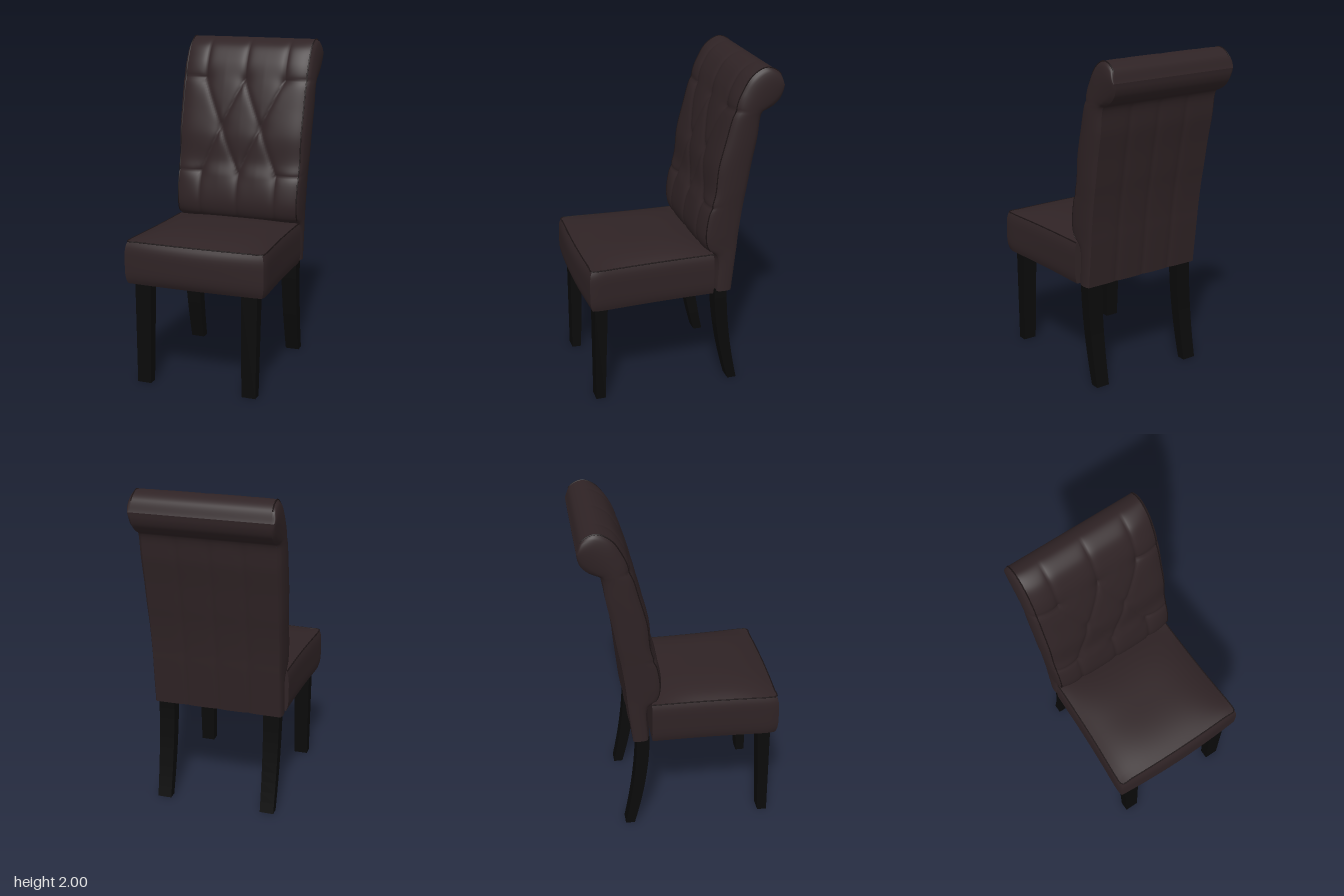
import * as THREE from 'three';

const upholstery = new THREE.MeshStandardMaterial({ color: 0x2f2325 });
upholstery.name = 'brownUpholstery';
const seamMat = new THREE.MeshStandardMaterial({ color: 0x1c1415 });
seamMat.name = 'darkSeam';
const wood = new THREE.MeshStandardMaterial({ color: 0x0a0a0a });
wood.name = 'blackWood';
const cloth = new THREE.MeshStandardMaterial({ color: 0x3a3020 });
cloth.name = 'oliveUndercloth';

const V = (x, y, z) => new THREE.Vector3(x, y, z);
const lerp = THREE.MathUtils.lerp;

function add(group, name, geometry, material) {
  const mesh = new THREE.Mesh(geometry, material);
  mesh.name = name;
  group.add(mesh);
  return mesh;
}

// Smooth surface from fn(u, v); faces the viewer who sees u to the right and v up
function surface(nu, nv, fn) {
  const pos = [], index = [];
  for (let j = 0; j <= nv; j++)
    for (let i = 0; i <= nu; i++) pos.push(...fn(i / nu, j / nv).toArray());
  for (let j = 0; j < nv; j++)
    for (let i = 0; i < nu; i++) {
      const a = j * (nu + 1) + i, c = a + nu + 1;
      index.push(a, a + 1, c + 1, a, c + 1, c);
    }
  const g = new THREE.BufferGeometry();
  g.setAttribute('position', new THREE.Float32BufferAttribute(pos, 3));
  g.setIndex(index);
  g.computeVertexNormals();
  return g;
}

// Backrest side profile as [y, z]: front and rear curves meeting at the tip of the roll
const curve = (pts) => new THREE.CatmullRomCurve3(pts.map(([y, z]) => V(0, y, z)));
const frontCurve = curve([[0.63, -0.195], [0.86, -0.195], [0.91, -0.14], [0.98, -0.12], [1.15, -0.14],
  [1.25, -0.172], [1.42, -0.19], [1.58, -0.23], [1.75, -0.275], [1.87, -0.32], [1.96, -0.385],
  [2.0, -0.48], [1.965, -0.56], [1.89, -0.592]]);
const rearCurve = curve([[0.63, -0.305], [0.85, -0.328], [0.92, -0.335], [1.0, -0.342], [1.17, -0.365],
  [1.28, -0.385], [1.43, -0.41], [1.58, -0.44], [1.735, -0.465], [1.755, -0.5], [1.775, -0.535],
  [1.81, -0.57], [1.85, -0.587], [1.89, -0.592]]);

// Tufting: pinch points and the seams joining them, on the +x half
const pinches = [[0, 1.75], [0.26, 1.75], [0.13, 1.46], [0, 1.17], [0.25, 1.17]];
const seams = [
  [0, 1.75, 0.13, 1.46], [0.26, 1.75, 0.13, 1.46], [0.13, 1.46, 0, 1.17], [0.13, 1.46, 0.25, 1.17],
  [0, 1.75, 0, 2.1], [0.26, 1.75, 0.26, 2.1], [0.26, 1.75, 0.4, 1.76], [0.25, 1.17, 0.4, 1.17],
  [0, 1.17, 0, 0.85], [0.25, 1.17, 0.25, 0.85],
];
function segmentDistance(x, y, [ax, ay, bx, by]) {
  const dx = bx - ax, dy = by - ay;
  const k = THREE.MathUtils.clamp(((x - ax) * dx + (y - ay) * dy) / (dx * dx + dy * dy), 0, 1);
  return Math.hypot(x - ax - k * dx, y - ay - k * dy);
}
function tuftDepth(x, y) {
  const ax = Math.abs(x);
  const seam = Math.min(...seams.map((s) => segmentDistance(ax, y, s)));
  const pinch = Math.min(...pinches.map(([px, py]) => Math.hypot(ax - px, y - py)));
  return 0.012 * Math.exp(-seam / 0.018) + 0.022 * Math.exp(-pinch / 0.045);
}

const halfWidth = (t) => lerp(0.392, 0.405, t);
function frontPoint(s, t) {
  const f = frontCurve.getPoint(t), r = rearCurve.getPoint(t);
  const inward = r.clone().sub(f);
  const fade = 1 - THREE.MathUtils.smoothstep(t, 0.7, 0.88);
  const depth = fade * (tuftDepth(s * 0.4, f.y) + 0.022 * s ** 8);
  if (depth > 0) f.addScaledVector(inward.normalize(), depth);
  f.x = s * halfWidth(t);
  return f;
}
function rearPoint(s, t) {
  const r = rearCurve.getPoint(t);
  const d = Math.min(...[-0.5, 0, 0.5].map((c) => Math.abs(s - c)));
  const fade = 1 - THREE.MathUtils.smoothstep(t, 0.55, 0.65);
  return V(s * halfWidth(t), r.y, r.z + 0.008 * fade * Math.exp(-d / 0.06));
}
function sidePoint(side, k, t) {
  const p = frontPoint(side, t).lerp(rearPoint(side, t), k);
  const bulge = (0.012 + 0.022 * THREE.MathUtils.smoothstep(t, 0.1, 0.6)) * (1 - 0.6 * t ** 8);
  p.x += side * bulge * Math.sqrt(Math.max(0, Math.sin(Math.PI * k)));
  return p;
}

function makeBackrest() {
  const g = new THREE.Group();
  g.name = 'backrest';
  add(g, 'tuftedFront', surface(80, 130, (u, v) => frontPoint(u * 2 - 1, v)), upholstery);
  add(g, 'rearPanel', surface(60, 70, (u, v) => rearPoint(1 - u * 2, v)), upholstery);
  add(g, 'leftSide', surface(14, 130, (u, v) => sidePoint(1, u, v)), upholstery);
  add(g, 'rightSide', surface(14, 130, (u, v) => sidePoint(-1, 1 - u, v)), upholstery);
  add(g, 'backrestBase', surface(2, 1, (u, v) =>
    rearPoint(u * 2 - 1, 0).lerp(frontPoint(u * 2 - 1, 0), v)), upholstery);
  // Stitched edges
  for (const side of [1, -1]) {
    const pts = Array.from({ length: 50 }, (_, i) => frontPoint(side, 0.14 + 0.8 * i / 49));
    add(g, 'edgeSeam', new THREE.TubeGeometry(new THREE.CatmullRomCurve3(pts), 100, 0.004, 5), seamMat);
  }
  return g;
}

// Maps a cube of half-size 1 to the padded, forward-widening seat
function seatPoint(x, y, z) {
  const h = (y + 1) / 2, swell = 1 - y ** 4;
  const width = 0.4 + 0.03 * ((z + 1) / 2) ** 2 + 0.014 * swell - 0.012 * Math.max(0, z) ** 12;
  const reach = z > 0 ? 0.36 + 0.026 * swell * (1 - 0.4 * x * x) + 0.01 * (1 - x * x) : 0.39;
  const dome = 0.052 * (1 - x ** 4) * (1 - Math.abs(z) ** 3);
  return V(x * width, lerp(0.623, 0.88, h) + dome * h ** 4, 0.2 + z * reach);
}

function makeSeat() {
  const g = new THREE.Group();
  g.name = 'seat';
  const box = new THREE.BoxGeometry(2, 2, 2, 28, 14, 28);
  const p = box.attributes.position;
  for (let i = 0; i < p.count; i++) {
    const q = seatPoint(p.getX(i), p.getY(i), p.getZ(i));
    p.setXYZ(i, q.x, q.y, q.z);
  }
  box.computeVertexNormals();
  add(g, 'seatCushion', box, upholstery);
  // Seam round the top edge
  const corners = [[-1, -1], [-1, 1], [1, 1], [1, -1]];
  const path = [];
  for (let c = 0; c < 3; c++)
    for (let i = 0; i < 12; i++) {
      const [a, b] = [corners[c], corners[c + 1]], k = i / 12;
      path.push(seatPoint(lerp(a[0], b[0], k), 1, lerp(a[1], b[1], k)));
    }
  path.push(seatPoint(1, 1, -1));
  add(g, 'seatSeam', new THREE.TubeGeometry(new THREE.CatmullRomCurve3(path), 120, 0.004, 5), seamMat);
  // Cloth panel under the frame
  add(g, 'undercloth', new THREE.BoxGeometry(0.7, 0.008, 0.62), cloth).position.set(0, 0.621, 0.17);
  return g;
}

// Square leg lofted through rows of [y, xMin, xMax, zMin, zMax], top to bottom
function legGeometry(rows) {
  const pos = [], index = [];
  for (const [y, x0, x1, z0, z1] of rows)
    pos.push(x0, y, z1, x1, y, z1, x1, y, z0, x0, y, z0);
  for (let r = 0; r < rows.length - 1; r++)
    for (let k = 0; k < 4; k++) {
      const a = r * 4 + k, b = r * 4 + (k + 1) % 4;
      index.push(a, a + 4, b + 4, a, b + 4, b);
    }
  const e = (rows.length - 1) * 4;
  index.push(0, 1, 2, 0, 2, 3, e, e + 2, e + 1, e, e + 3, e + 2);
  const g = new THREE.BufferGeometry();
  g.setAttribute('position', new THREE.Float32BufferAttribute(pos, 3));
  g.setIndex(index);
  const flat = g.toNonIndexed();
  flat.computeVertexNormals();
  return flat;
}

export function createModel() {
  const model = new THREE.Group();
  model.name = 'diningChair';
  model.add(makeBackrest(), makeSeat());

  const frontLeg = [[0.64, -0.05, 0.05, 0.46, 0.54], [0, -0.043, 0.043, 0.485, 0.543]];
  // Rear legs sweep backwards
  const rearLeg = Array.from({ length: 11 }, (_, i) => {
    const k = i / 10, sweep = 0.1 * k ** 1.8, w = lerp(0.05, 0.043, k);
    return [0.64 * (1 - k), -w, w, -0.283 - sweep * 0.78, -0.205 - sweep];
  });
  for (const side of [1, -1]) {
    const name = side > 0 ? 'left' : 'right';
    add(model, name + 'FrontLeg', legGeometry(frontLeg), wood).position.x = side * 0.333;
    add(model, name + 'RearLeg', legGeometry(rearLeg), wood).position.x = side * 0.333;
  }
  return model;
}
